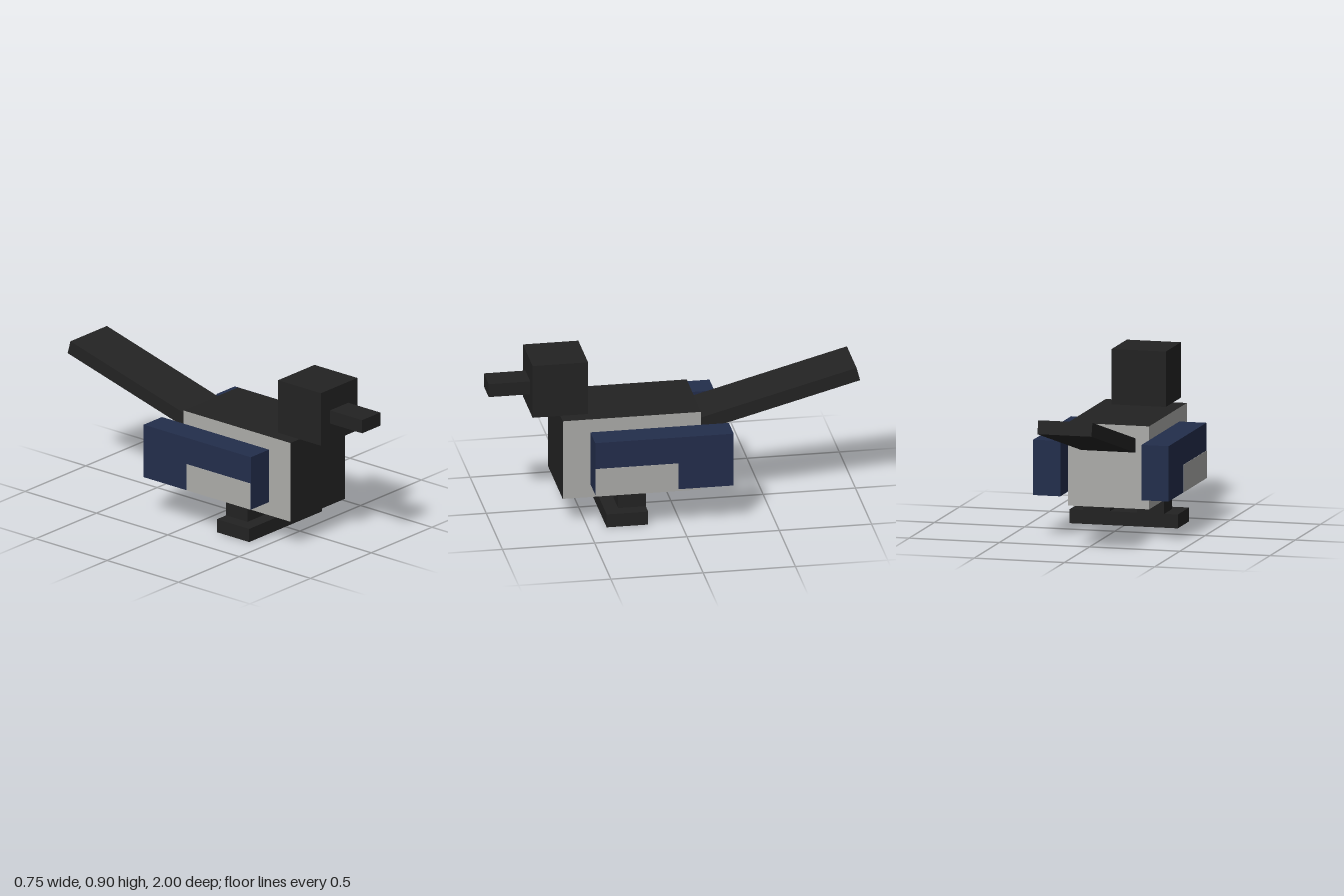
import * as THREE from 'three';

export function createModel() {
  const model = new THREE.Group();
  model.name = 'bird';

  const material = (name, color) => {
    const m = new THREE.MeshStandardMaterial({ color });
    m.name = name;
    return m;
  };
  const black = material('black plumage', 0x232323);
  const grey = material('pale grey plumage', 0xacaca9);
  const blue = material('dark blue plumage', 0x232e4c);

  // Box given by its min and max corners
  const box = (name, mat, [x0, y0, z0], [x1, y1, z1], parent = model) => {
    const mesh = new THREE.Mesh(new THREE.BoxGeometry(x1 - x0, y1 - y0, z1 - z0), mat);
    mesh.position.set((x0 + x1) / 2, (y0 + y1) / 2, (z0 + z1) / 2);
    mesh.name = name;
    parent.add(mesh);
    return mesh;
  };

  // Body: black back and breast, grey flanks, belly and rump (+x, -x, +y, -y, +z, -z)
  box('body', [grey, grey, black, grey, black, grey], [-0.225, 0.15, -0.125], [0.225, 0.6, 0.625]);

  // Head and beak
  box('head', black, [-0.15, 0.6, 0.475], [0.15, 0.9, 0.775]);
  box('beak', black, [-0.075, 0.705, 0.775], [0.075, 0.78, 1]);

  // Long tail, raised 15 degrees
  const tail = new THREE.Mesh(new THREE.BoxGeometry(0.3, 0.075, 0.9), black);
  tail.name = 'tail';
  tail.position.set(0, 0.608, -0.555);
  tail.rotation.x = THREE.MathUtils.degToRad(15);
  model.add(tail);

  // Wings, legs and feet, one set per side
  for (const [side, s] of [['left', 1], ['right', -1]]) {
    const mirrored = (name, mat, x0, x1, y0, y1, z0, z1) =>
      box(`${side} ${name}`, mat, [Math.min(s * x0, s * x1), y0, z0], [Math.max(s * x0, s * x1), y1, z1]);

    mirrored('wing', blue, 0.225, 0.375, 0.225, 0.525, -0.275, 0.475);
    mirrored('wing patch', grey, 0.374, 0.377, 0.2255, 0.375, 0.025, 0.4745);
    mirrored('leg', black, 0.075, 0.225, 0.075, 0.15, 0.175, 0.325);
    mirrored('foot', black, 0, 0.3, 0, 0.075, 0.175, 0.4);
  }

  return model;
}
